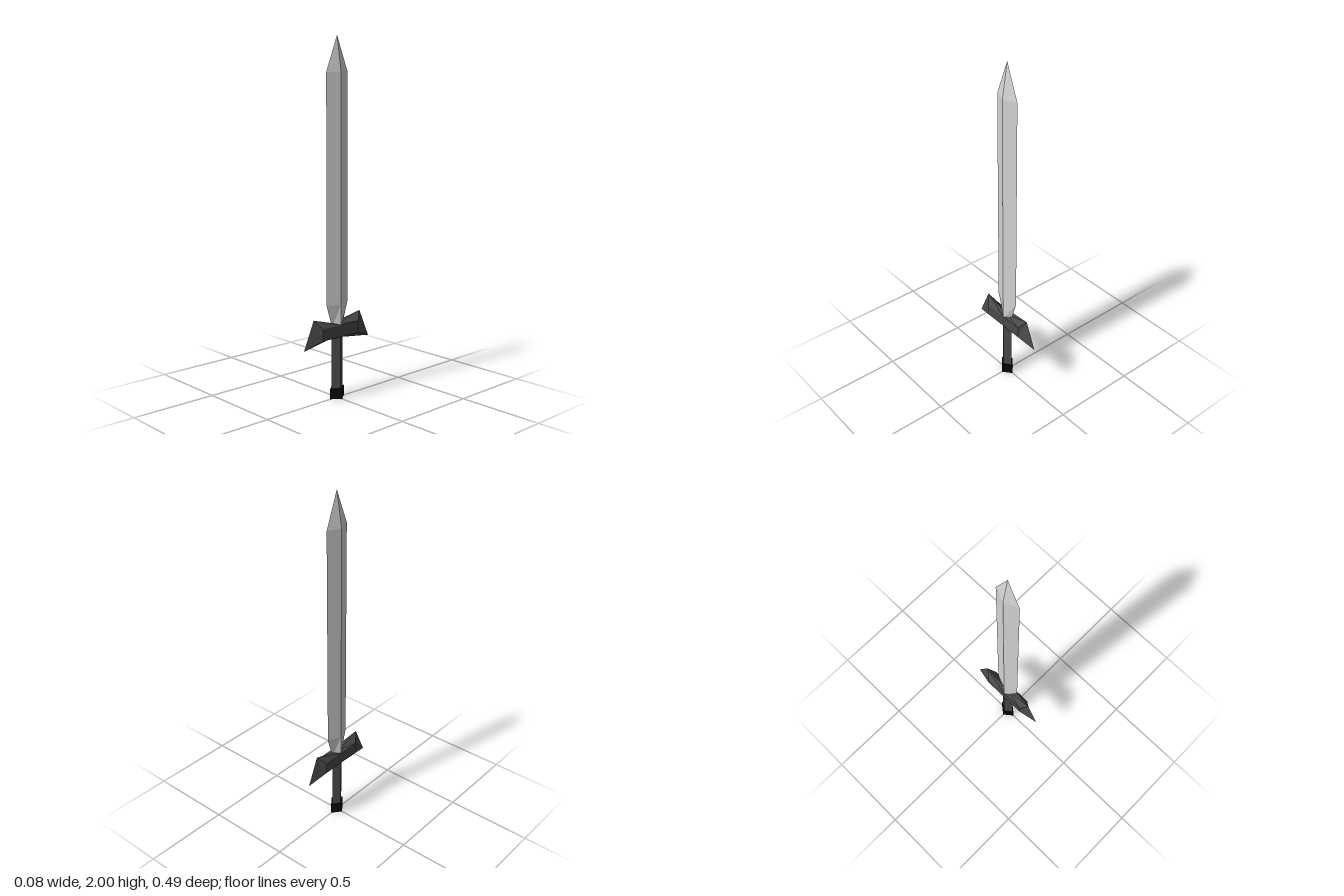
import * as THREE from 'three';

const material = (name, color) => {
  const m = new THREE.MeshStandardMaterial({ color });
  m.name = name;
  return m;
};

// Faceted skin over rings of [x, y, z], wound counter-clockwise seen from the far end, with closed ends
function loft(rings) {
  const positions = [];
  const tri = (...points) => {
    const [a, b, c] = points.map((p) => new THREE.Vector3(...p));
    if (new THREE.Triangle(a, b, c).getArea() < 1e-8) return;
    positions.push(...a, ...b, ...c);
  };
  const n = rings[0].length;
  for (let r = 0; r < rings.length - 1; r++) {
    const low = rings[r], high = rings[r + 1];
    for (let i = 0; i < n; i++) {
      const j = (i + 1) % n;
      tri(low[i], low[j], high[j]);
      tri(low[i], high[j], high[i]);
    }
  }
  const first = rings[0], last = rings[rings.length - 1];
  for (let i = 1; i < n - 1; i++) {
    tri(first[0], first[i + 1], first[i]);
    tri(last[0], last[i], last[i + 1]);
  }
  const geometry = new THREE.BufferGeometry();
  geometry.setAttribute('position', new THREE.Float32BufferAttribute(positions, 3));
  geometry.computeVertexNormals();
  return geometry;
}

// Horizontal diamond section at height y with half-widths x and z
const diamond = (y, x, z) => [[x, y, 0], [0, y, -z], [-x, y, 0], [0, y, z]];

// Six-sided guard section: ridge, two flat sides, keel
const guardSection = (ridge, sideZ, keel) => [
  [0, ...ridge],
  [-0.032, 0.425, sideZ], [-0.032, 0.357, sideZ],
  [0, ...keel],
  [0.032, 0.357, sideZ], [0.032, 0.425, sideZ],
];

export function createModel() {
  const steel = material('pale steel', 0xd6d6d6);
  const darkMetal = material('dark metal', 0x4a4a4a);
  const black = material('black', 0x0a0a0a);

  const group = new THREE.Group();
  group.name = 'sword';
  const add = (name, rings, mat) => {
    const mesh = new THREE.Mesh(loft(rings), mat);
    mesh.name = name;
    group.add(mesh);
  };

  // Blade narrows at the guard and comes to a point
  add('blade', [
    diamond(0.41, 0.03, 0.038),
    diamond(0.54, 0.031, 0.078),
    diamond(1.805, 0.031, 0.078),
    diamond(2, 0, 0),
  ], steel);

  // Guard with flared, slanted ends
  add('guard', [
    guardSection([0.475, -0.173], -0.133, [0.315, -0.243]),
    guardSection([0.425, 0], 0, [0.357, 0]),
    guardSection([0.475, 0.173], 0.133, [0.315, 0.243]),
  ], darkMetal);

  // Grip and pommel
  add('grip', [diamond(0.05, 0.03, 0.041), diamond(0.37, 0.03, 0.041)], darkMetal);
  add('pommel', [diamond(0, 0.042, 0.052), diamond(0.06, 0.042, 0.052)], black);

  return group;
}
